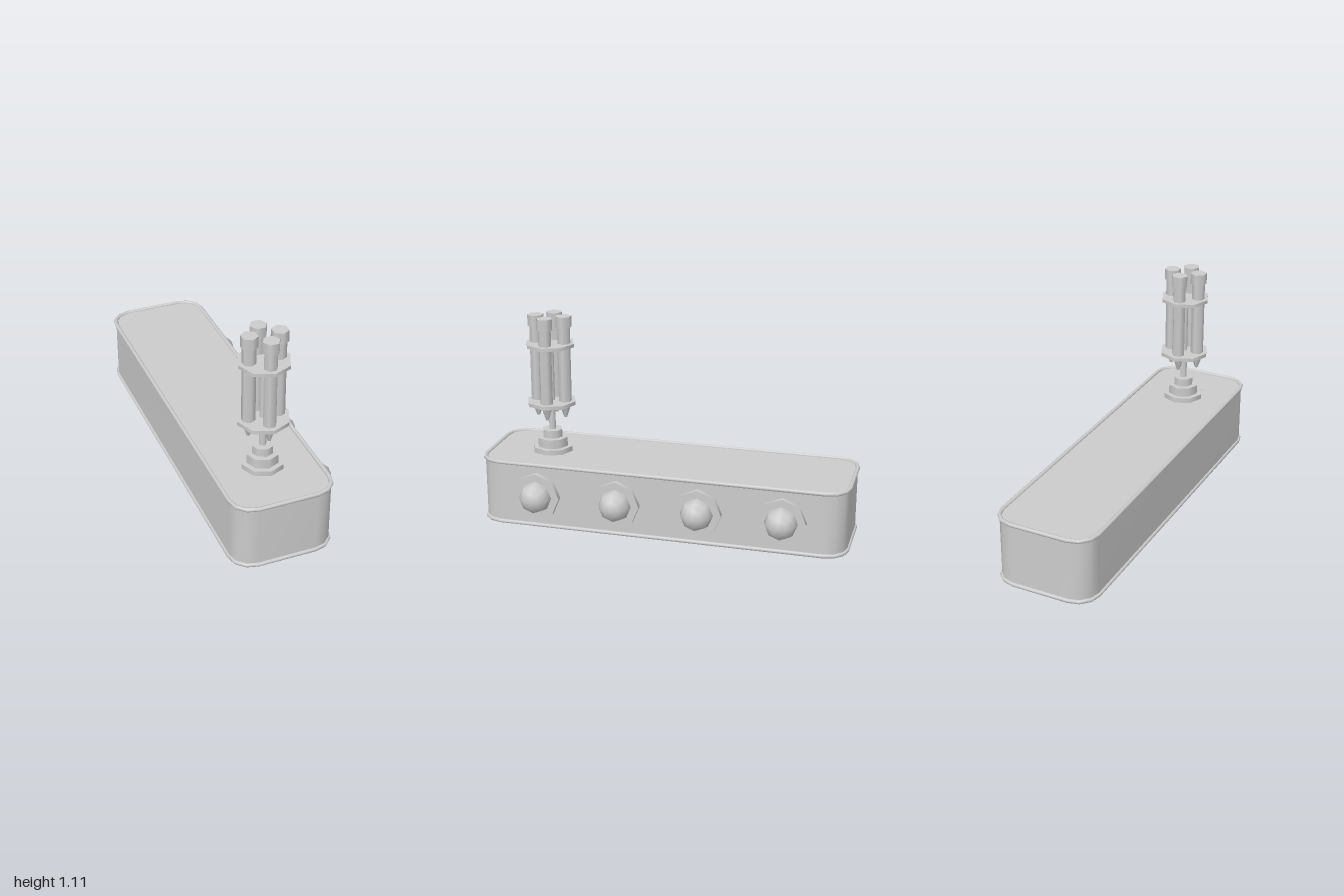
import * as THREE from 'three';

const material = new THREE.MeshStandardMaterial({ color: 0xcccccc });
const thin = new THREE.MeshStandardMaterial({ color: 0xcccccc, side: THREE.DoubleSide });

const CX = -0.052, HALF_X = 0.263, HALF_Z = 0.989, CORNER = 0.11, STEPS = 3;
const TOP = 0.354, BOTTOM = 0.013, RIM = 0.011;

function add(parent, name, geometry, mat = material) {
  const mesh = new THREE.Mesh(geometry, mat);
  mesh.name = name;
  parent.add(mesh);
  return mesh;
}

// Upright cylinder or frustum between two heights
function column(parent, name, rTop, rBottom, y0, y1, sides) {
  const mesh = add(parent, name, new THREE.CylinderGeometry(rTop, rBottom, y1 - y0, sides));
  mesh.position.y = (y0 + y1) / 2;
  return mesh;
}

// Rounded rectangle outline at height y, pushed outwards by d
function outline(d, y) {
  const points = [];
  for (let q = 0; q < 4; q++) {
    const sx = q === 0 || q === 3 ? 1 : -1, sz = q < 2 ? 1 : -1;
    for (let i = 0; i <= STEPS; i++) {
      const a = (q + i / STEPS) * Math.PI / 2;
      points.push(new THREE.Vector3(
        CX + sx * (HALF_X - CORNER) + (CORNER + d) * Math.cos(a), y,
        sz * (HALF_Z - CORNER) + (CORNER + d) * Math.sin(a)));
    }
  }
  return points;
}

// Skin over a stack of closed outlines
function loft(rings, wrap = false) {
  const n = rings[0].length, index = [];
  for (let i = 0; i < rings.length - (wrap ? 0 : 1); i++) {
    const k = (i + 1) % rings.length;
    for (let j = 0; j < n; j++) {
      const m = (j + 1) % n;
      index.push(i * n + j, k * n + j, i * n + m, k * n + j, k * n + m, i * n + m);
    }
  }
  const geometry = new THREE.BufferGeometry().setFromPoints(rings.flat());
  geometry.setIndex(index);
  geometry.computeVertexNormals();
  return geometry;
}

function rim(y) {
  const rings = [];
  for (let i = 0; i < 8; i++) {
    const t = i / 8 * Math.PI * 2;
    rings.push(outline(RIM * Math.cos(t), y + RIM * Math.sin(t)));
  }
  return loft(rings, true);
}

export function createModel() {
  const model = new THREE.Group();
  model.name = 'model';

  // Housing: open underneath, with a rounded rim at both edges
  const housing = new THREE.Group();
  housing.name = 'housing';
  model.add(housing);
  add(housing, 'walls', loft([outline(0, BOTTOM), outline(0, TOP)]), thin);
  const lidShape = new THREE.Shape(outline(0, 0).map(p => new THREE.Vector2(p.x, -p.z)));
  const lid = add(housing, 'lid', new THREE.ShapeGeometry(lidShape).rotateX(-Math.PI / 2), thin);
  lid.position.y = TOP;
  add(housing, 'topRim', rim(TOP));
  add(housing, 'bottomRim', rim(BOTTOM));

  // Row of domes on octagonal plates along the left side
  for (let i = 0; i < 4; i++) {
    const lamp = new THREE.Group();
    lamp.name = 'domeLamp';
    lamp.position.set(0.21, 0.184, 0.663 - i * 0.442);
    lamp.rotation.z = -Math.PI / 2;
    model.add(lamp);
    column(lamp, 'domePlate', 0.129, 0.129, -0.005, 0.03, 8);
    const dome = add(lamp, 'dome',
      new THREE.SphereGeometry(0.088, 8, 3, 0, Math.PI * 2, 0, Math.PI / 2));
    dome.position.y = 0.029;
  }

  // Turret: stepped base, post, and two plates holding the barrels
  const turret = new THREE.Group();
  turret.name = 'turret';
  turret.position.set(CX, 0, 0.663);
  model.add(turret);
  column(turret, 'baseStep', 0.112, 0.112, 0.35, 0.382, 8);
  column(turret, 'baseStep', 0.085, 0.085, 0.382, 0.432, 8);
  column(turret, 'baseStep', 0.055, 0.055, 0.432, 0.475, 8);
  column(turret, 'post', 0.019, 0.019, 0.475, 0.95, 8);
  column(turret, 'lowerPlate', 0.136, 0.136, 0.62, 0.64, 8);
  column(turret, 'upperPlate', 0.134, 0.134, 0.943, 0.961, 8);

  // Four six-sided barrels around the post
  for (let i = 0; i < 4; i++) {
    const arm = new THREE.Group();
    arm.name = 'barrel';
    arm.rotation.y = i * Math.PI / 2;
    turret.add(arm);
    const parts = [
      column(arm, 'barrelTip', 0.034, 0.008, 0.547, 0.625, 6),
      column(arm, 'barrelTube', 0.035, 0.035, 0.625, 1.05, 6),
      column(arm, 'muzzle', 0.044, 0.044, 1.05, 1.11, 6),
    ];
    for (const part of parts) part.position.x = 0.078;
  }
  return model;
}
